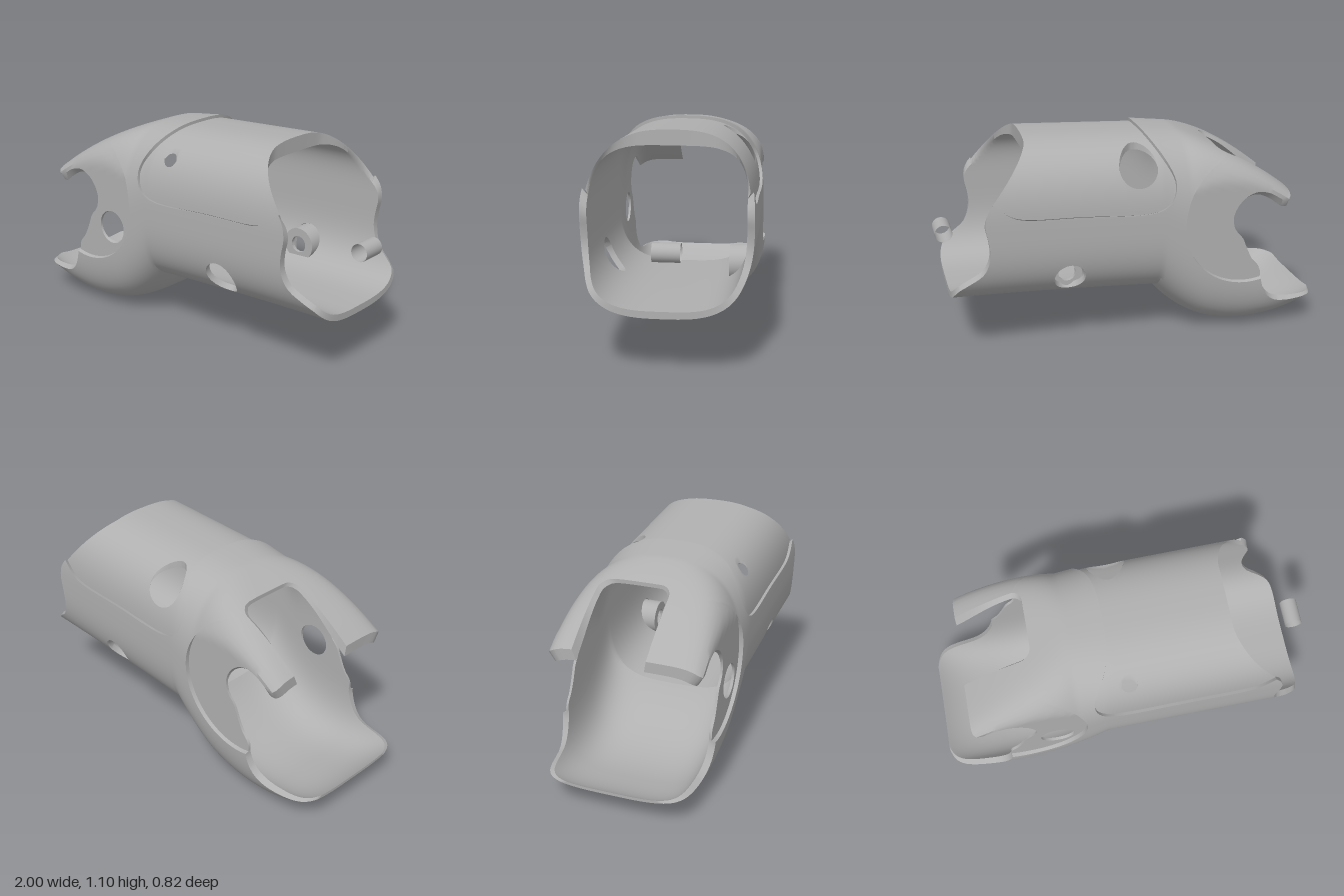
import * as THREE from 'three';
import { toCreasedNormals } from 'three/addons/utils/BufferGeometryUtils.js';

const { smoothstep, clamp } = THREE.MathUtils;
const HALF_WIDTH = 0.41, SIDE_WALL = 0.035;

// Vertical cross-section at x: middle height, half height, and roundness of both halves
function section(x) {
  const d = Math.max(0, -0.27 - x);
  let top = 1.07 - 0.285 * d - 0.466 * d * d;
  if (x > -0.27) top = x < -0.08 ? 1.07 + (x + 0.27) * 0.105 : 1.09 + (x + 0.08) * 0.048;
  const t = x + 0.12, reach = x < -0.6 ? 0.638 : 0.597;
  const bottom = t < 0
    ? 0.598 - 0.597 * Math.sqrt(Math.max(0, 1 - ((x + 0.6) / reach) ** 2))
    : 0.243 + 0.07 * t - 0.022 * t * t;
  return {
    mid: (top + bottom) / 2, half: (top - bottom) / 2,
    upperN: 2.7 + 9 * d, lowerN: 3.5 - 0.5 * smoothstep(x, -0.4, -0.12),
  };
}

// Point of the rounded tube at x and angle a, moved inward by inset
function outerPoint(x, a, inset = 0, maxZ = 9) {
  const { mid, half, upperN, lowerN } = section(x);
  const c = Math.cos(a), s = Math.sin(a), n = s > 0 ? upperN : lowerN;
  const r = (Math.abs(c) ** n + Math.abs(s) ** n) ** (-1 / n);
  return [x, mid + r * s * (half - inset), clamp(r * c * (HALF_WIDTH - inset), -maxZ, maxZ)];
}

// Matching point of the inner surface: thick roof in the sleeve and at the jaw tip, thin lower lip
function innerPoint(x, a) {
  const { mid, half, upperN, lowerN } = section(x);
  const c = Math.cos(a), s = Math.sin(a), sleeve = smoothstep(x, -0.25, -0.08);
  const roof = 0.02 + 0.05 * sleeve + 0.035 * Math.max(0, x + 0.1)
    + 0.035 * (1 - smoothstep(x, -0.8, -0.55));
  const floor = 0.015 + 0.02 * smoothstep(x, -1, -0.7);
  const n = s > 0 ? upperN + 1.4 * sleeve : lowerN + 0.3;
  const r = (Math.abs(c) ** n + Math.abs(s) ** n) ** (-1 / n);
  return [x, mid + r * s * (half - (s > 0 ? roof : floor)), r * c * (HALF_WIDTH - SIDE_WALL)];
}

// Outer half width of the tube at a given height on the lower half
function widthAt(x, y) {
  const { mid, half, lowerN } = section(x);
  return HALF_WIDTH * Math.max(0, 1 - Math.min(1, Math.abs(y - mid) / half) ** lowerN) ** (1 / lowerN);
}

// Closed outline: smooth curve through points, then straight corners
function outline(points, corners) {
  const curve = new THREE.CatmullRomCurve3(points.map(([x, y]) => new THREE.Vector3(x, y, 0)));
  return [...curve.getPoints(points.length * 4).map((p) => [p.x, p.y]), ...corners];
}

// Signed distance to an outline in the side plane, positive outside
function distanceTo(poly) {
  return ([px, py]) => {
    let best = Infinity, inside = false;
    for (let i = 0, j = poly.length - 1; i < poly.length; j = i++) {
      const [ax, ay] = poly[j], [bx, by] = poly[i];
      const dx = bx - ax, dy = by - ay;
      const t = clamp(((px - ax) * dx + (py - ay) * dy) / (dx * dx + dy * dy || 1), 0, 1);
      best = Math.min(best, Math.hypot(px - ax - t * dx, py - ay - t * dy));
      if ((ay > py) !== (by > py) && px < ax + ((py - ay) / (by - ay)) * dx) inside = !inside;
    }
    return inside ? -best : best;
  };
}

// Round hole through one side wall (side = 1 or -1)
const hole = (cx, cy, r, side) => ([x, y, z]) => (z * side > 0 ? Math.hypot(x - cx, y - cy) - r : 1);
const invert = (f) => (p) => -f(p);

// Cut a cell by a rule, marking the edges made by the cut
function clip(cell, rule) {
  const value = cell.map((v) => rule(outerPoint(v.x, v.a)));
  const out = [];
  cell.forEach((v, i) => {
    const j = (i + 1) % cell.length, w = cell[j], f = value[i], g = value[j];
    if (f >= 0) out.push(v);
    if ((f >= 0) !== (g >= 0)) {
      const t = f / (f - g);
      out.push({ x: v.x + (w.x - v.x) * t, a: v.a + (w.a - v.a) * t, cut: f >= 0 ? true : v.cut });
    }
  });
  return out;
}

// Walled piece of the tube: everything that all rules keep, with closed rims
function shellGeometry(rules, x0, x1, outerAt) {
  const positions = [];
  const tri = (a, b, c) => {
    const [u, v, w] = [a, b, c].map((p) => new THREE.Vector3(...p));
    if (v.sub(u).cross(w.sub(u)).length() > 1e-9) positions.push(...a, ...b, ...c);
  };
  // columns share one spacing, so the crease at x = -0.12 falls on a column
  const dx = 0.016, turns = 112, step = (Math.PI * 2) / turns;
  const last = Math.ceil((x1 + 0.12) / dx);
  for (let i = Math.floor((x0 + 0.12) / dx); i < last; i++) for (let k = 0; k < turns; k++) {
    let cell = [[i, k], [i, k + 1], [i + 1, k + 1], [i + 1, k]]
      .map(([p, q]) => ({ x: -0.12 + p * dx, a: q * step, cut: false }));
    for (const rule of rules) if (cell.length) cell = clip(cell, rule);
    if (cell.length < 3) continue;
    const o = cell.map((v) => outerAt(v.x, v.a)), n = cell.map((v) => innerPoint(v.x, v.a));
    for (let m = 1; m < cell.length - 1; m++) {
      tri(o[0], o[m + 1], o[m]);
      tri(n[0], n[m], n[m + 1]);
    }
    cell.forEach((v, m) => {
      if (!v.cut) return;
      const w = (m + 1) % cell.length;
      tri(o[m], o[w], n[w]);
      tri(o[m], n[w], n[m]);
    });
  }
  const geo = new THREE.BufferGeometry();
  geo.setAttribute('position', new THREE.Float32BufferAttribute(positions, 3));
  return toCreasedNormals(geo, 0.6);
}

export function createModel() {
  const group = new THREE.Group();
  const grey = new THREE.MeshStandardMaterial({ color: 0xb0b0b0, side: THREE.DoubleSide });
  grey.name = 'grey';
  const add = (name, geometry) => {
    const mesh = new THREE.Mesh(geometry, grey);
    mesh.name = name;
    group.add(mesh);
  };

  // Open jaw on the left and wavy end on the right
  const mouth = distanceTo(outline([
    [-0.813, 0.78], [-0.813, 0.755], [-0.797, 0.735], [-0.765, 0.732], [-0.735, 0.75], [-0.69, 0.775],
    [-0.62, 0.788], [-0.54, 0.748], [-0.493, 0.66], [-0.51, 0.585], [-0.545, 0.55], [-0.575, 0.48],
    [-0.61, 0.41], [-0.65, 0.36], [-0.655, 0.29], [-0.695, 0.205], [-0.76, 0.162], [-0.96, 0.152], [-1, 0.147],
  ], [[-1.2, 0.14], [-1.2, 1.3], [-0.83, 1.3]]));
  const end = distanceTo([[0.54, 1.14], ...outline([
    [0.545, 1.1], [0.64, 0.98], [0.73, 0.865], [0.77, 0.81], [0.784, 0.74], [0.77, 0.655], [0.767, 0.575],
    [0.8, 0.49], [0.87, 0.435], [0.925, 0.39], [0.948, 0.335], [0.95, 0.27],
  ], [[0.95, 0], [1.3, 0], [1.3, 1.4], [0.54, 1.4]])]);

  // Stepped cover region on the upper half of the sleeve
  const cover = distanceTo(outline([
    [-0.07, 1.1], [-0.155, 0.96], [-0.185, 0.87], [-0.165, 0.79], [-0.12, 0.75], [-0.04, 0.73],
    [0.3, 0.748], [0.59, 0.762], [0.66, 0.785], [0.78, 0.885],
  ], [[1.3, 1.3], [-0.07, 1.3]]));

  // Round sunken cheek on each side of the head
  const cheek = ([x, y, z]) => Math.max(Math.hypot(x + 0.57, y - 0.64) - 0.34, 0.2 - Math.abs(z));

  // Rounded slot in the upper jaw
  const slot = ([x, y, z]) => {
    if (y < 0.5) return 1;
    const dx = Math.abs(x + 0.85) - 0.34, dz = Math.abs(z + 0.072) - 0.128;
    return Math.hypot(Math.max(dx, 0), Math.max(dz, 0)) + Math.min(Math.max(dx, dz), 0) - 0.06;
  };

  const pinHoles = [hole(0, 0.968, 0.042, 1), hole(0, 0.965, 0.1, -1)];
  const bossHoles = [hole(0.365, 0.415, 0.09, 1), hole(0.365, 0.415, 0.08, -1)];
  const tip = ([x]) => x + 1;

  add('mainShell', shellGeometry([tip, mouth, end, cover, cheek, slot, ...bossHoles], -1.01, 0.97, outerPoint));
  add('upperCover', shellGeometry([invert(cover), end, ...pinHoles], -0.22, 0.85,
    (x, a) => outerPoint(x, a, 0.016)));
  add('cheekPlates', shellGeometry([invert(cheek), mouth, slot, hole(-0.39, 0.51, 0.09, 1)], -0.95, -0.2,
    (x, a) => outerPoint(x, a, 0, 0.388)));

  // Screw boss inside the back wall, its open end following the wall
  const profile = [[0.09, -0.4], [0.09, -0.27], [0.045, -0.27], [0.045, -0.29], [0.078, -0.29], [0.078, -0.4]];
  const boss = new THREE.LatheGeometry(profile.map(([r, y]) => new THREE.Vector2(r, y)), 40);
  boss.rotateX(Math.PI / 2).translate(0.365, 0.415, 0);
  const pos = boss.attributes.position;
  for (let i = 0; i < pos.count; i++) {
    if (pos.getZ(i) < -0.35) pos.setZ(i, 0.008 - widthAt(pos.getX(i), pos.getY(i)));
  }
  add('screwBoss', toCreasedNormals(boss, 0.6));

  // Small open sleeve at the open end
  const sleeve = new THREE.CylinderGeometry(0.045, 0.045, 0.13, 32, 1, true);
  sleeve.rotateX(Math.PI / 2).translate(0.955, 0.61, -0.025);
  add('pinSleeve', sleeve);

  return group;
}
